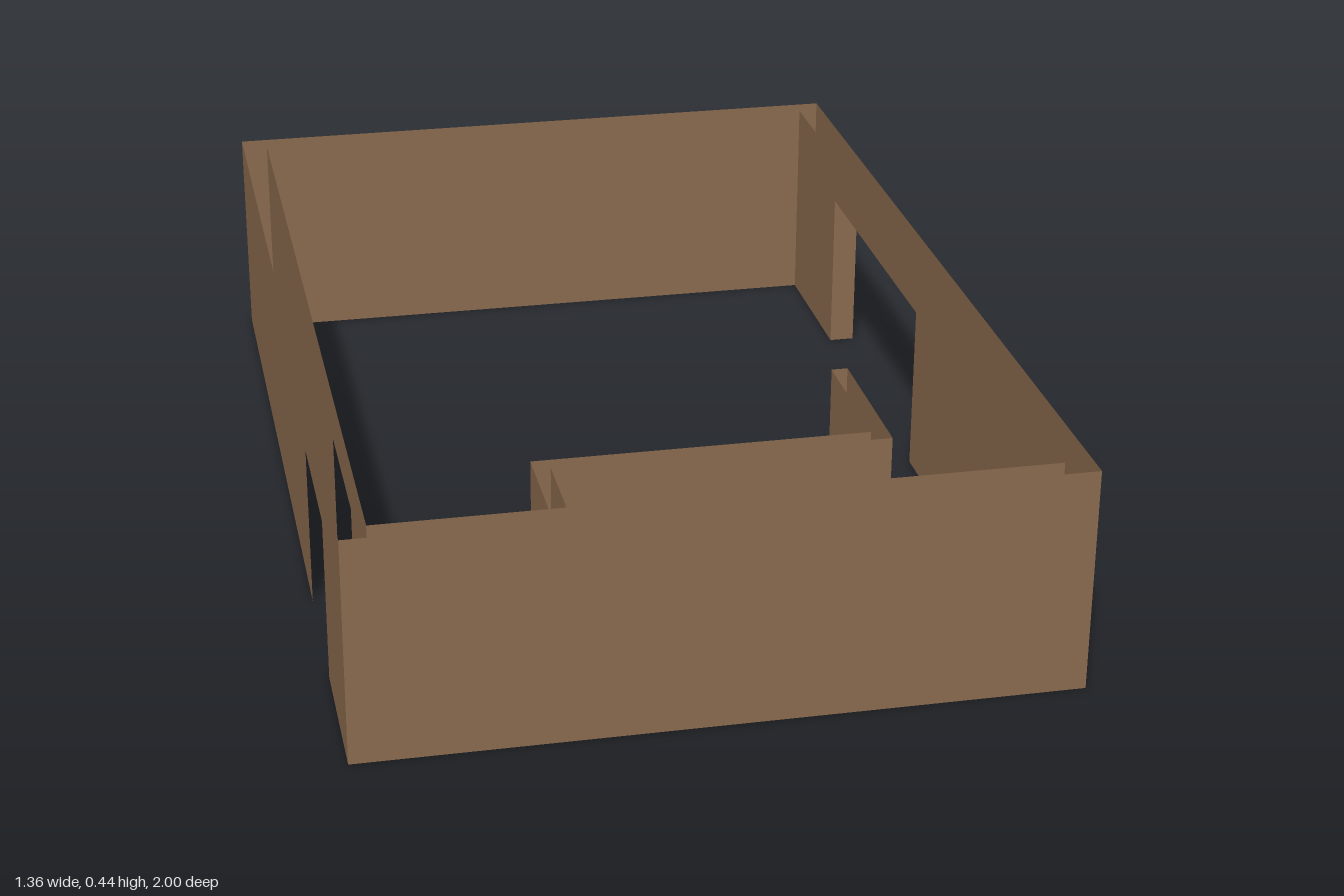
import * as THREE from 'three';

export function createModel() {
  const group = new THREE.Group();
  const brown = new THREE.MeshStandardMaterial({ color: 0x8b6b4f, side: THREE.DoubleSide });
  brown.name = 'wall brown';

  const H = 0.445, X = 0.68, Z = 1, XI = 0.627, ZI = 0.955;

  // Upright sheet from u0 to u1, with an optional doorway [start, end, height]
  function sheet(u0, u1, y0, y1, door) {
    const s = new THREE.Shape();
    s.moveTo(u0, y0);
    if (door) {
      const [a, b, h] = door;
      s.lineTo(a, y0).lineTo(a, h).lineTo(b, h).lineTo(b, y0);
    }
    s.lineTo(u1, y0).lineTo(u1, y1).lineTo(u0, y1);
    s.closePath();
    return new THREE.ShapeGeometry(s);
  }
  function add(name, geometry) {
    const mesh = new THREE.Mesh(geometry, brown);
    mesh.name = name;
    group.add(mesh);
  }
  // Sheets lying across x (at a given z) or along z (at a given x)
  const across = (name, z, x0, x1, y0 = 0, y1 = H) =>
    add(name, sheet(x0, x1, y0, y1).translate(0, 0, z));
  const along = (name, x, z0, z1, y1 = H, door) =>
    add(name, sheet(z0, z1, 0, y1, door).rotateY(-Math.PI / 2).translate(x, 0, 0));

  // Hollow outer walls, open at top and bottom
  const leftDoor = [-0.62, 0.03, 0.345], rightDoor = [0.397, 0.693, 0.345];
  across('frontWallOuter', Z, -X, X);
  across('frontWallInner', ZI, -XI, XI);
  across('backWallOuter', -Z, -X, X);
  across('backWallInner', -ZI, -XI, XI);
  along('leftWallOuter', X, -Z, Z, H, leftDoor);
  along('leftWallInner', XI, -ZI, ZI, H, leftDoor);
  along('rightWallOuter', -X, -Z, Z, H, rightDoor);
  along('rightWallInner', -XI, -ZI, ZI, H, rightDoor);

  // Lining of the wide doorway
  const [d0, d1, dh] = leftDoor;
  across('doorwayJambBack', d0, XI, X, 0, dh);
  across('doorwayJambFront', d1, XI, X, 0, dh);
  add('doorwayLintel', new THREE.PlaneGeometry(X - XI, d1 - d0).rotateX(Math.PI / 2)
    .translate((X + XI) / 2, dh, (d0 + d1) / 2));

  // Inner partition: a wing, a long wall and a return to the front wall
  const ph = 0.4;
  along('partitionWingOuter', 0.38, 0.39, 0.708, ph);
  along('partitionWingInner', 0.348, 0.39, 0.675, ph);
  across('partitionWingEnd', 0.39, 0.348, 0.38, 0, ph);
  across('partitionLongBack', 0.675, -0.295, 0.348, 0, ph);
  across('partitionLongFront', 0.708, -0.263, 0.38, 0, ph);
  along('partitionReturnOuter', -0.295, 0.675, ZI, ph);
  along('partitionReturnInner', -0.263, 0.708, ZI, ph);

  // Blind windows on the back wall
  across('backWindowLeft', -Z - 0.001, 0.185, 0.51, 0.22, 0.34);
  across('backWindowRight', -Z - 0.001, -0.5, -0.2, 0.22, 0.34);

  return group;
}
